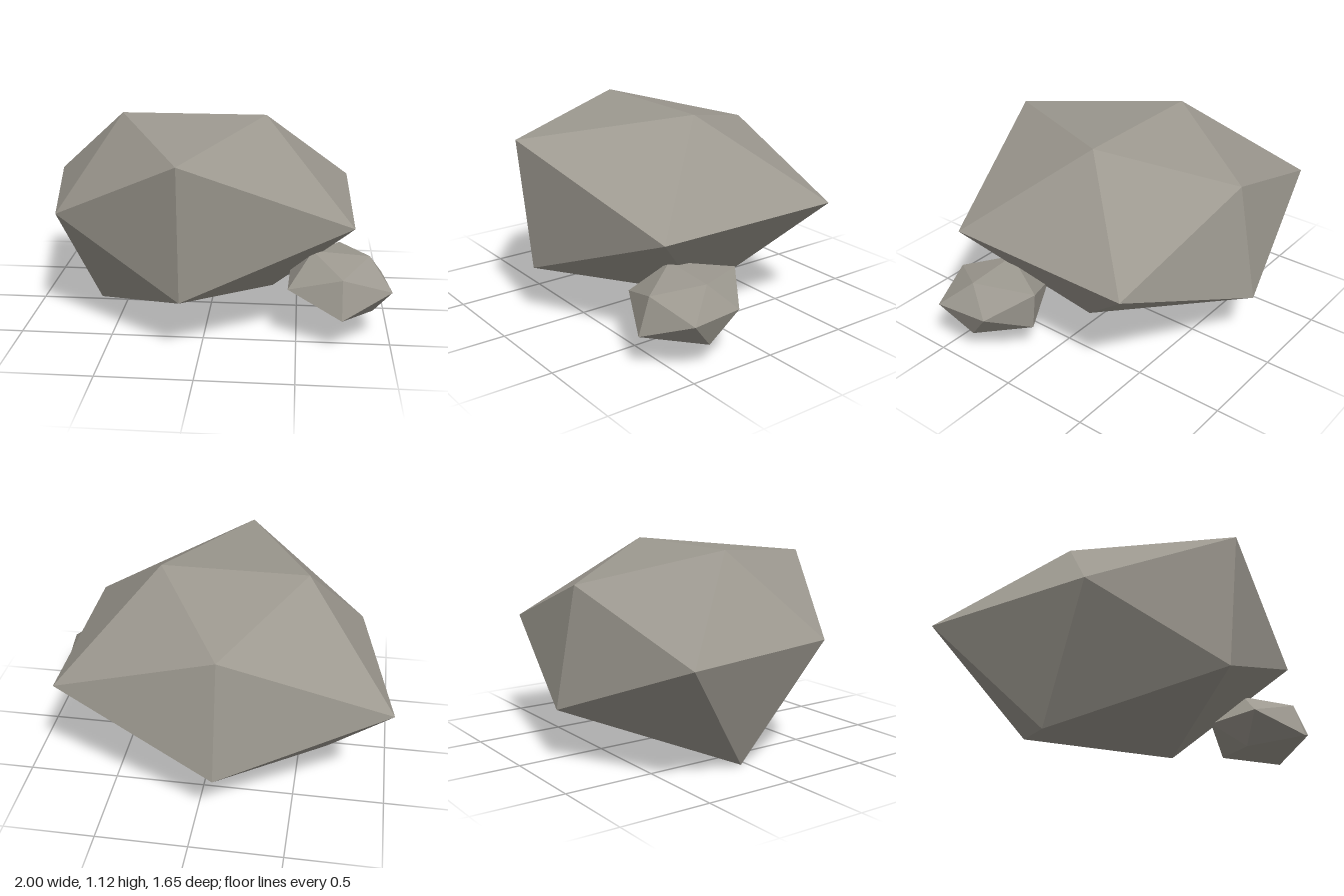
import * as THREE from 'three';

// The twenty faces shared by both twelve-cornered rocks
const FACES = [
  0, 11, 5, 0, 5, 1, 0, 1, 7, 0, 7, 10, 0, 10, 11,
  1, 5, 9, 5, 11, 4, 11, 10, 2, 10, 7, 6, 7, 1, 8,
  3, 9, 4, 3, 4, 2, 3, 2, 6, 3, 6, 8, 3, 8, 9,
  4, 9, 5, 2, 4, 11, 6, 2, 10, 8, 6, 7, 9, 8, 1,
];

// Faceted rock from its corners: top pair, bottom pair, front pair, back pair, left pair, right pair
function makeRock(name, corners, material) {
  const indexed = new THREE.BufferGeometry();
  indexed.setAttribute('position', new THREE.Float32BufferAttribute(corners.flat(), 3));
  indexed.setIndex(FACES);
  const geometry = indexed.toNonIndexed();
  geometry.computeVertexNormals();
  const mesh = new THREE.Mesh(geometry, material);
  mesh.name = name;
  return mesh;
}

export function createModel() {
  const stone = new THREE.MeshStandardMaterial({ color: 0x9c988f, flatShading: true });
  stone.name = 'stone';

  const group = new THREE.Group();
  group.name = 'rocks';

  // Main boulder
  group.add(makeRock('boulder', [
    [-0.505, 1.125, -0.035], [0.305, 1.125, -0.035],
    [-0.66, 0, -0.035], [0.36, 0.11, -0.035],
    [-0.1, 0.3, 0.75], [-0.1, 1.035, 0.825],
    [-0.1, 0.3, -0.825], [-0.1, 0.95, -0.705],
    [0.79, 0.65, -0.59], [0.79, 0.65, 0.52],
    [-1, 0.65, -0.59], [-0.81, 0.65, 0.4],
  ], stone));

  // Small stone resting against its side
  group.add(makeRock('smallStone', [
    [0.58, 0.46, 0.335], [0.885, 0.44, 0.335],
    [0.59, 0.155, 0.335], [0.915, 0.125, 0.335],
    [0.735, 0.185, 0.64], [0.735, 0.385, 0.575],
    [0.735, 0.19, 0.05], [0.735, 0.41, 0.025],
    [0.965, 0.297, 0.19], [1, 0.297, 0.495],
    [0.46, 0.297, 0.18], [0.45, 0.297, 0.5],
  ], stone));

  return group;
}
